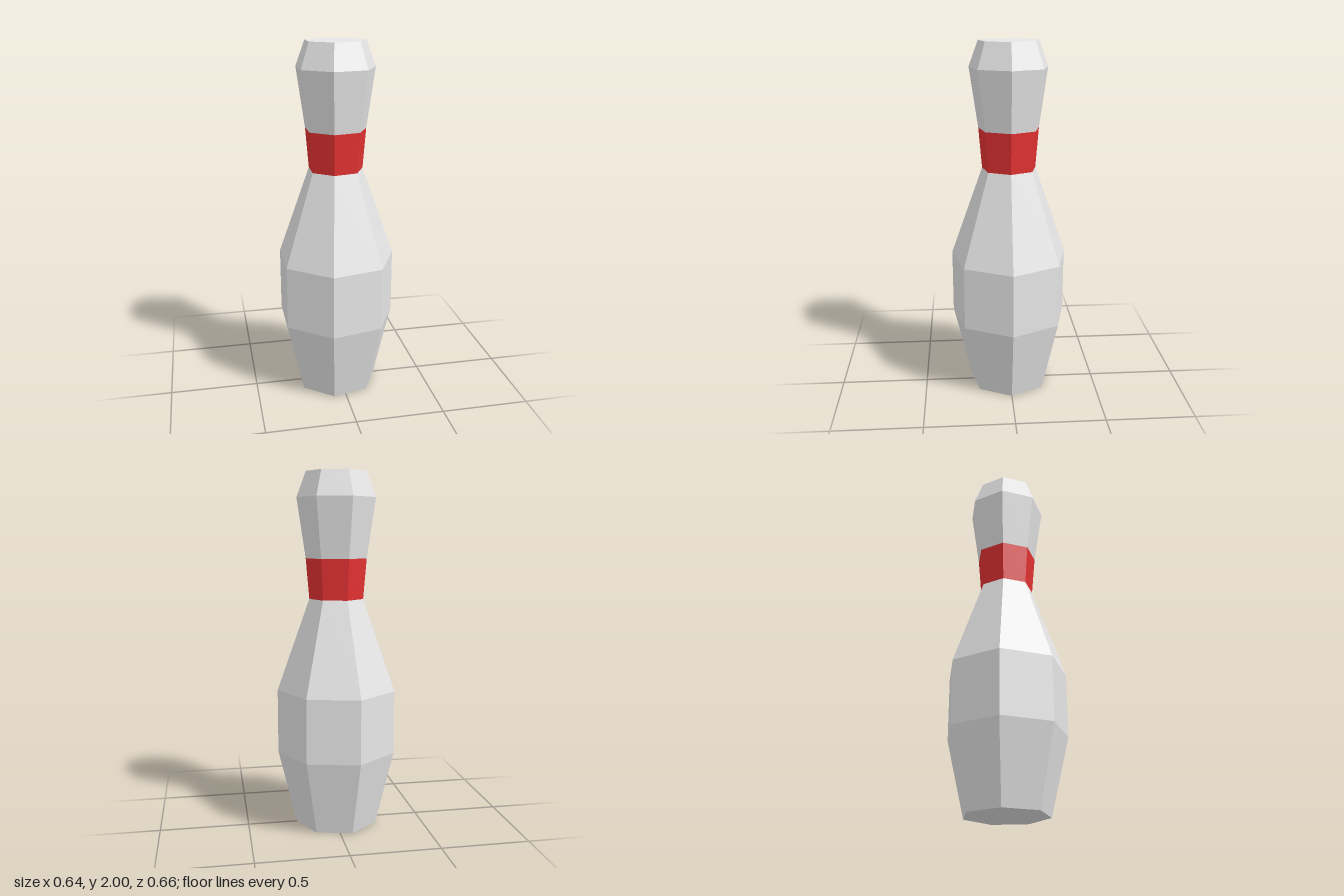
import * as THREE from 'three';

const SIDES = 7;

const white = new THREE.MeshStandardMaterial({ color: 0xe6e6e6, flatShading: true });
white.name = 'white';
const red = new THREE.MeshStandardMaterial({ color: 0xe63232, flatShading: true });
red.name = 'red';

// Seven-sided ring of [radius, height] points, with one corner towards +x
function turned(name, profile, material) {
  const points = profile.map(([r, y]) => new THREE.Vector2(r, y));
  const geometry = new THREE.LatheGeometry(points, SIDES, Math.PI / 2);
  const mesh = new THREE.Mesh(geometry, material);
  mesh.name = name;
  return mesh;
}

export function createModel() {
  const pin = new THREE.Group();
  pin.name = 'bowlingPin';

  // Closed base, belly and shoulders up to the neck
  pin.add(turned('body', [[0, 0], [0.235, 0], [0.338, 0.43], [0.338, 0.79], [0.154, 1.305]], white));
  // Painted neck
  pin.add(turned('neckBand', [[0.154, 1.305], [0.173, 1.53]], red));
  // Head with chamfered, flat top
  pin.add(turned('head', [[0.173, 1.53], [0.222, 1.86], [0.169, 2], [0, 2]], white));

  // Centre the odd-sided outline on x
  pin.position.x = -0.017;
  const model = new THREE.Group();
  model.add(pin);
  return model;
}
